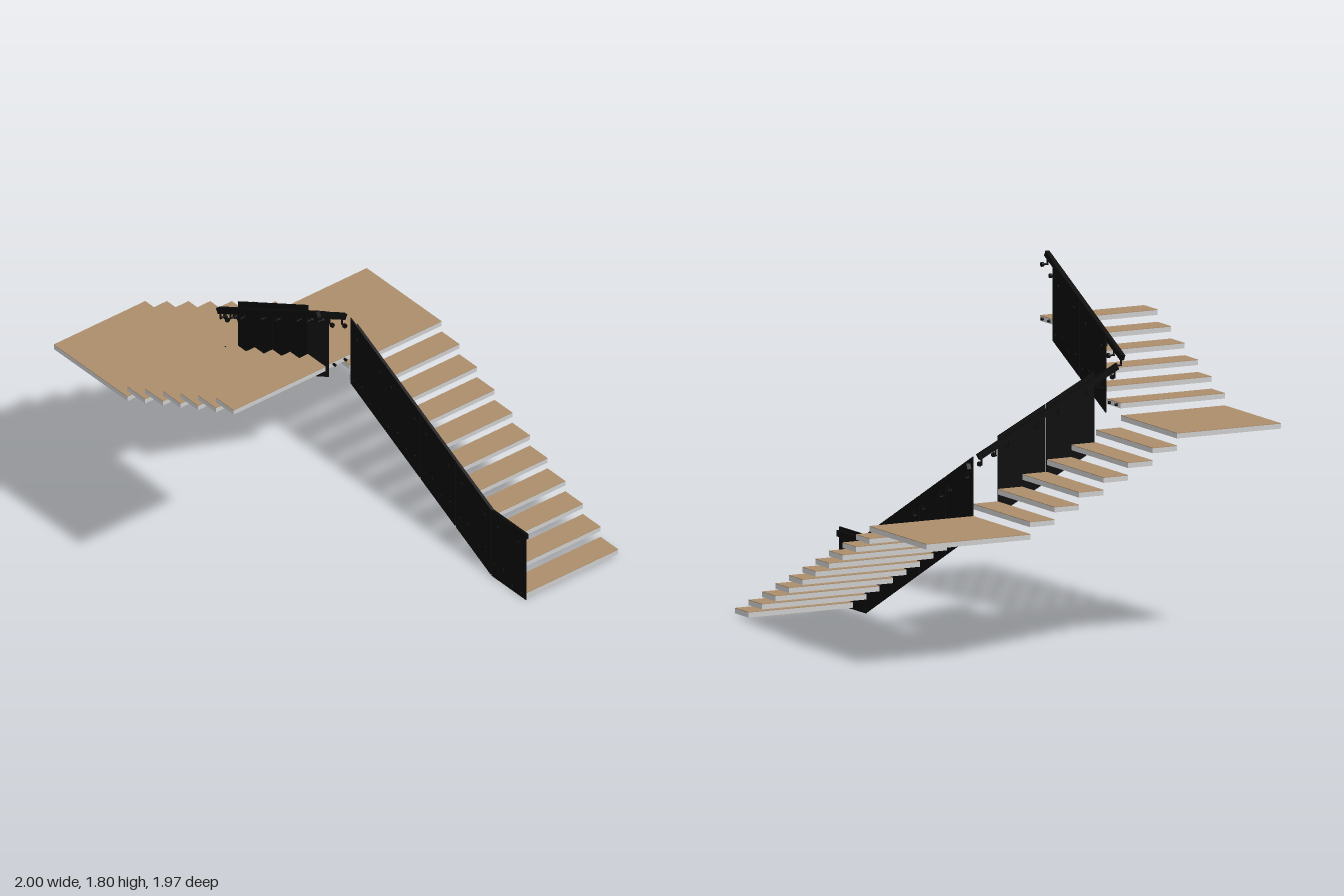
import * as THREE from 'three';

const grey = new THREE.MeshStandardMaterial({ color: 0xcccccc });
const wood = new THREE.MeshStandardMaterial({ color: 0xab8d6a });
const black = new THREE.MeshStandardMaterial({ color: 0x0a0a0a });

const RISE = 0.0625, FIRST_TOP = 0.037, THICK = 0.028, VENEER = 0.003;
const SLOPE = 0.51, PANEL_H = 0.395, PANEL_T = 0.006;
const topOf = (k) => FIRST_TOP + RISE * k;

function add(parent, name, geometry, material, x, y, z) {
  const mesh = new THREE.Mesh(geometry, material);
  mesh.name = name;
  mesh.position.set(x, y, z);
  parent.add(mesh);
  return mesh;
}

// Grey slab with a wooden top face
function slab(parent, name, x0, x1, z0, z1, top) {
  const g = new THREE.Group();
  g.name = name;
  const w = x1 - x0, d = z1 - z0, x = (x0 + x1) / 2, z = (z0 + z1) / 2;
  const h = THICK - VENEER;
  add(g, name + 'Body', new THREE.BoxGeometry(w, h, d), grey, x, top - VENEER - h / 2, z);
  add(g, name + 'Top', new THREE.BoxGeometry(w, VENEER, d), wood, x, top - VENEER / 2, z);
  parent.add(g);
}

// Upright balustrade sheet; u runs along the climb (local -z)
function panel(parent, x, u0, u1, b0, b1) {
  const s = new THREE.Shape([[u0, b0], [u1, b1], [u1, b1 + PANEL_H], [u0, b0 + PANEL_H]]
    .map(([u, y]) => new THREE.Vector2(u, y)));
  const geo = new THREE.ExtrudeGeometry(s, { depth: PANEL_T, bevelEnabled: false });
  add(parent, 'balustradePanel', geo, black, x, 0, 0).rotation.y = Math.PI / 2;
}

// Straight handrail length between two (u, y) points
function railLength(parent, x, [u0, y0], [u1, y1]) {
  const len = Math.hypot(u1 - u0, y1 - y0);
  const m = add(parent, 'handrail', new THREE.BoxGeometry(0.022, 0.03, len), black,
    x, (y0 + y1) / 2, -(u0 + u1) / 2);
  m.rotation.x = Math.atan2(y1 - y0, u1 - u0);
}

// Peg lying across the flight, from x0 to x1
function peg(parent, name, x0, x1, y, z, r) {
  const geo = new THREE.CylinderGeometry(r, r, x1 - x0, 10);
  add(parent, name, geo, black, (x0 + x1) / 2, y, z).rotation.z = Math.PI / 2;
}

// Each flight climbs towards local -z, with its balustrade on the -x side
function flight(f) {
  const g = new THREE.Group();
  g.name = f.name;
  const step = (f.end - f.start) / f.count;

  for (let i = 0; i < f.count; i++) {
    const u = f.start + i * step, top = topOf(f.firstStep + i);
    slab(g, 'tread', f.inner, f.outer, -(u + step), -u, top);
    // pins fixing the tread to the balustrade
    for (const t of [0.25, 0.75])
      peg(g, 'treadPin', f.panelX - 0.003, f.inner + 0.004, top - THICK / 2, -(u + t * step), 0.007);
  }

  // sloping panels with narrow joints
  const gap = 0.003, e = f.panelEdges;
  const bottom = (u) => f.panelBase + (u - e[0]) * SLOPE;
  for (let i = 0; i < e.length - 1; i++) {
    const a = e[i] + gap, b = e[i + 1] - gap;
    panel(g, f.panelX, a, b, bottom(a), bottom(b));
  }

  // handrail and its brackets
  for (let i = 0; i < f.rail.length - 1; i++) railLength(g, f.railX, f.rail[i], f.rail[i + 1]);
  const railY = (u) => {
    const r = f.rail;
    const i = r.length > 2 && u < r[1][0] ? 0 : r.length - 2;
    return r[i][1] + (u - r[i][0]) * (r[i + 1][1] - r[i][1]) / (r[i + 1][0] - r[i][0]);
  };
  for (const u of f.brackets) {
    const y = railY(u) - 0.03;
    add(g, 'bracketStem', new THREE.CylinderGeometry(0.005, 0.005, 0.04, 8), black, f.railX, y, -u);
    peg(g, 'bracketArm', f.panelX, f.railX + 0.004, y - 0.018, -u, 0.005);
    peg(g, 'bracketDisc', f.panelX - 0.003, f.panelX + PANEL_T + 0.003, y - 0.018, -u, 0.012);
  }
  g.rotation.y = f.turn;
  return g;
}

export function createModel() {
  const model = new THREE.Group();
  model.name = 'staircase';

  const lower = flight({
    name: 'lowerFlight', turn: 0, firstStep: 0, count: 10, start: -0.98, end: 0.40,
    inner: 0.412, outer: 1, panelX: 0.405, panelBase: 0.002,
    panelEdges: [-0.713, -0.435, -0.158, 0.112, 0.389],
    railX: 0.423, rail: [[-0.97, 0.365], [-0.70, 0.365], [0.37, 0.908]],
    brackets: [-0.92, -0.76, -0.66, -0.48, -0.38, -0.2, -0.11, 0.07, 0.16, 0.34],
  });
  // level panel at the foot of the stair
  panel(lower, 0.405, -0.985, -0.716, 0, 0);

  const middle = flight({
    name: 'middleFlight', turn: Math.PI / 2, firstStep: 11, count: 6, start: -0.415, end: 0.415,
    inner: 0.402, outer: 0.985, panelX: 0.389, panelBase: 0.655, panelEdges: [-0.275, 0, 0.275],
    railX: 0.413, rail: [[-0.393, 0.958], [0.39, 1.348]],
    brackets: [-0.375, -0.295, -0.22, -0.06, 0.06, 0.22, 0.295, 0.375],
  });

  const upper = flight({
    name: 'upperFlight', turn: Math.PI, firstStep: 18, count: 6, start: -0.41, end: 0.42,
    inner: 0.412, outer: 1, panelX: 0.403, panelBase: 1.09, panelEdges: [-0.273, 0, 0.278],
    railX: 0.436, rail: [[-0.388, 1.382], [0.395, 1.788]],
    brackets: [-0.37, -0.295, -0.22, -0.06, 0.06, 0.22, 0.30, 0.385],
  });

  model.add(lower, middle, upper);
  slab(model, 'lowerLanding', 0.412, 1, -0.985, -0.40, topOf(10));
  slab(model, 'upperLanding', -1, -0.415, -0.985, -0.41, topOf(17));
  return model;
}
